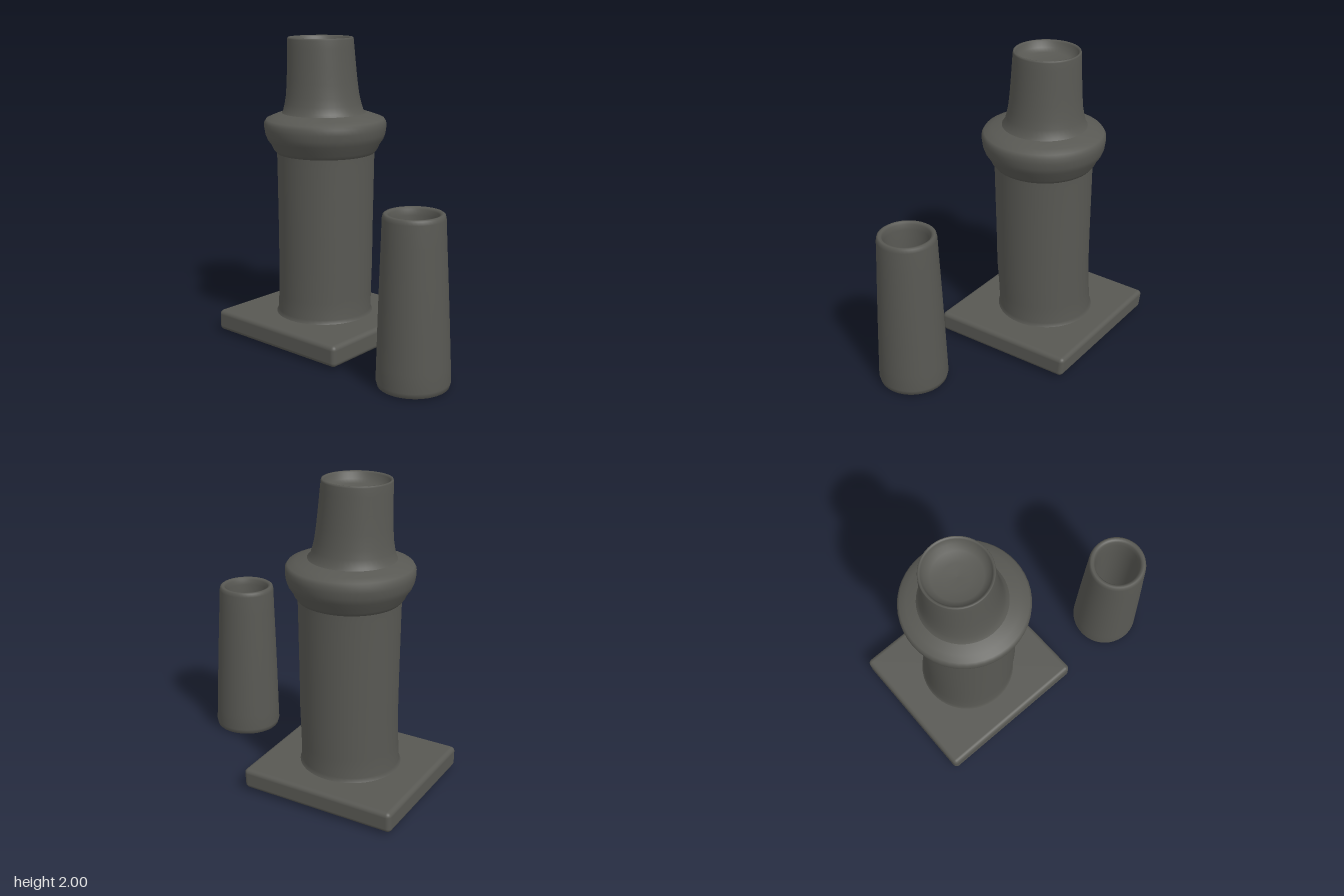
import * as THREE from 'three';
import { RoundedBoxGeometry } from 'three/addons/geometries/RoundedBoxGeometry.js';

const stone = new THREE.MeshStandardMaterial({ color: 0x585853 });
stone.name = 'dark grey stone';

// Piecewise linear interpolation through [y, x, z] stations
function centreAt(stations, y) {
  let i = 0;
  while (i < stations.length - 2 && y > stations[i + 1][0]) i++;
  const a = stations[i], b = stations[i + 1];
  const t = THREE.MathUtils.clamp((y - a[0]) / (b[0] - a[0]), 0, 1);
  return [a[1] + (b[1] - a[1]) * t, a[2] + (b[2] - a[2]) * t];
}

// Lathe a [radius, y] profile, then let its axis drift through the stations
function driftingLathe(name, profile, stations, segments = 48) {
  const geo = new THREE.LatheGeometry(profile.map(([r, y]) => new THREE.Vector2(r, y)), segments);
  const p = geo.attributes.position;
  for (let i = 0; i < p.count; i++) {
    const [cx, cz] = centreAt(stations, p.getY(i));
    p.setX(i, p.getX(i) + cx);
    p.setZ(i, p.getZ(i) + cz);
  }
  const mesh = new THREE.Mesh(geo, stone);
  mesh.name = name;
  return mesh;
}

export function createModel() {
  const group = new THREE.Group();
  group.name = 'chimneyPots';

  // Square base slab with soft edges, a skewed front edge and tapered left side
  const baseGeo = new RoundedBoxGeometry(0.985, 0.14, 1.055, 4, 0.03);
  const p = baseGeo.attributes.position;
  for (let i = 0; i < p.count; i++) {
    const x = p.getX(i), y = p.getY(i), z = p.getZ(i);
    if (z > 0.3) p.setZ(i, z + 0.012 - 0.026 * THREE.MathUtils.smoothstep(x, -0.3, 0.3));
    if (x > 0.3) p.setX(i, x + (y - 0.07) * 0.1);
  }
  baseGeo.translate(0.025, 0.085, -0.37);
  const base = new THREE.Mesh(baseGeo, stone);
  base.name = 'baseSlab';
  group.add(base);

  // Tall pot: shaft, swollen collar and tapered neck with a dished top
  const drift = [[0.1, 0.03, -0.372], [0.5, 0.02, -0.347], [1.25, 0.018, -0.336],
    [1.48, 0.015, -0.337], [1.53, 0.014, -0.352], [2, 0.01, -0.368]];
  group.add(driftingLathe('shaft', [
    [0.34, 0.13], [0.325, 0.155], [0.314, 0.18], [0.312, 0.3], [0.313, 0.5],
    [0.314, 0.75], [0.317, 1.0], [0.319, 1.2], [0.322, 1.27],
  ], drift));
  group.add(driftingLathe('collar', [
    [0.3, 1.25], [0.322, 1.255], [0.342, 1.28], [0.355, 1.31], [0.38, 1.345], [0.393, 1.38],
    [0.399, 1.42], [0.399, 1.455], [0.385, 1.477], [0.34, 1.495], [0.29, 1.512], [0.24, 1.525],
  ], drift));
  group.add(driftingLathe('neck', [
    [0.285, 1.505], [0.262, 1.53], [0.25, 1.575], [0.239, 1.63], [0.23, 1.72], [0.223, 1.83],
    [0.217, 1.94], [0.214, 1.99], [0.211, 2], [0.203, 2], [0.196, 1.99], [0.183, 1.955],
    [0.15, 1.935], [0.08, 1.925], [0, 1.922],
  ], drift));

  // Small open pot: a tapered tube, hollow right through
  group.add(driftingLathe('smallPot', [
    [0.15, 0.02], [0.165, 0.004], [0.2, 0], [0.218, 0.008], [0.226, 0.04], [0.222, 0.15],
    [0.213, 0.4], [0.203, 0.65], [0.192, 0.9], [0.187, 1.03], [0.182, 1.053], [0.172, 1.06],
    [0.158, 1.058], [0.148, 1.045], [0.143, 1.01], [0.137, 0.9], [0.134, 0.5], [0.137, 0.1],
    [0.15, 0.02],
  ], [[0, -0.302, 0.664], [1.06, -0.305, 0.657]]));

  return group;
}
